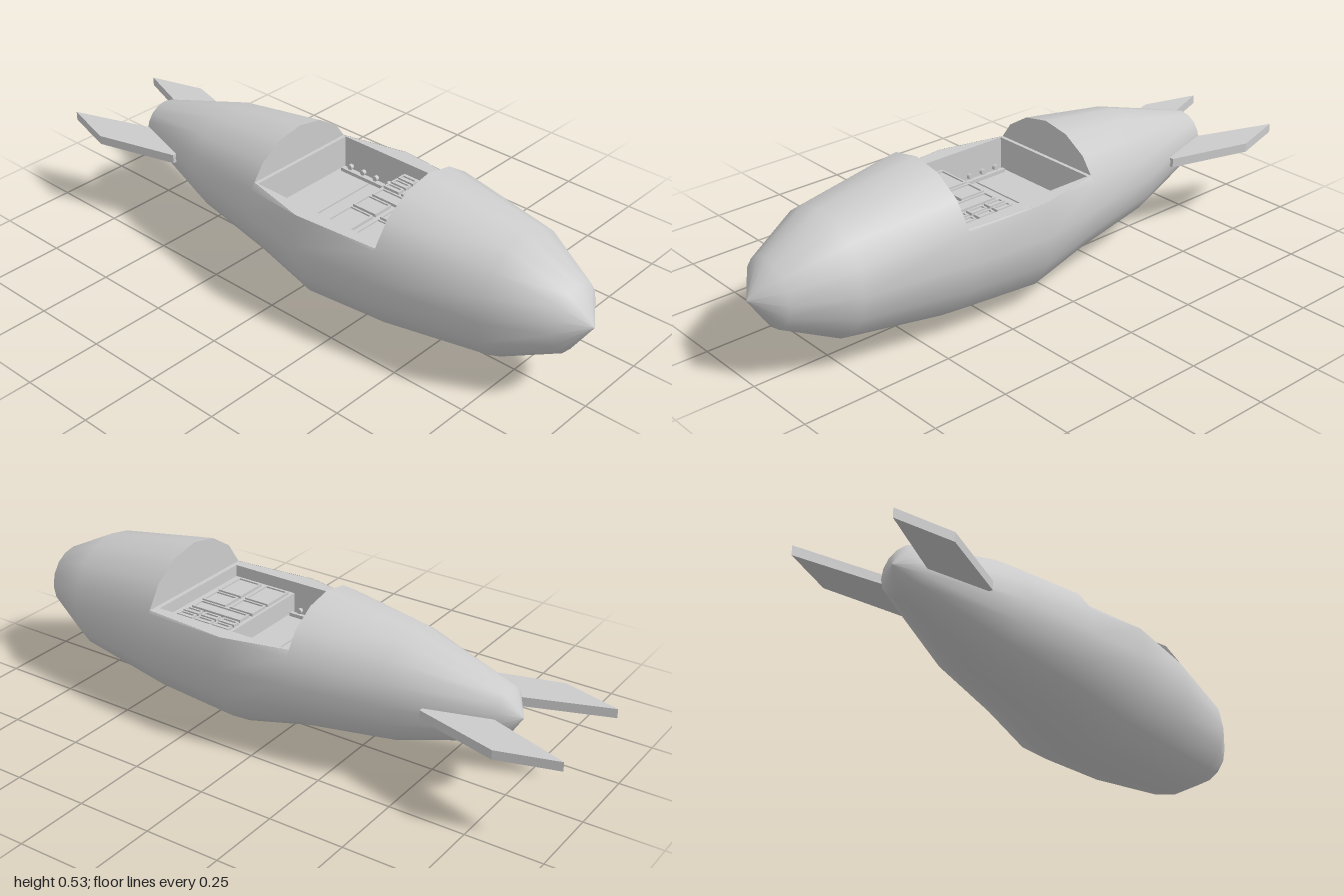
import * as THREE from 'three';

const mat = new THREE.MeshStandardMaterial({ color: 0xcccccc, side: THREE.DoubleSide });
const AXIS = 0.275, RIM = 0.38, SIDES = 16;

// Hull stations: x, vertical radius, sideways radius
const RINGS = [
  [-0.79, 0.0005, 0.0005], [-0.74, 0.082, 0.082], [-0.41, 0.181, 0.183], [-0.11, 0.222, 0.236],
  [0.11, 0.275, 0.275], [0.4, 0.254, 0.256], [0.75, 0.2, 0.2], [0.93, 0.108, 0.108], [1, 0.0005, 0.0005],
];
const OPEN_FROM = 3, OPEN_TO = 5; // stations bounding the cockpit opening

function add(group, name, geometry) {
  const mesh = new THREE.Mesh(geometry, mat);
  mesh.name = name;
  group.add(mesh);
  return mesh;
}

// Box given by its centre in plan, its base height and its size
function box(group, name, x, base, z, w, h, d) {
  return add(group, name, new THREE.BoxGeometry(w, h, d).translate(x, base + h / 2, z));
}

// Horizontal plate with its outline in [x, z] and its top face at the given height
function plate(outline, hole, top, depth) {
  const toShape = (Type, pts) => new Type(pts.map(([x, z]) => new THREE.Vector2(x, -z)));
  const shape = toShape(THREE.Shape, outline);
  if (hole) shape.holes.push(toShape(THREE.Path, hole));
  return new THREE.ExtrudeGeometry(shape, { depth, bevelEnabled: false })
    .rotateX(-Math.PI / 2).translate(0, top - depth, 0);
}

function rect(x0, x1, z0, z1) {
  return [[x0, z0], [x1, z0], [x1, z1], [x0, z1]];
}

// Half width of a station at rim height, on the polygon side above the 22.5 degree corner
function rimHalfWidth([, ry, rz]) {
  const a = Math.PI / 8, b = Math.PI / 4;
  const t = (RIM - AXIS - ry * Math.sin(a)) / (ry * (Math.sin(b) - Math.sin(a)));
  return rz * THREE.MathUtils.lerp(Math.cos(a), Math.cos(b), Math.max(0, t));
}

// One smooth skin from nose to tail, left open over the cockpit
function hullGeometry() {
  const pos = [], index = [], stride = SIDES + 2;
  const quad = (a, b, c, d) => index.push(a, b, c, a, c, d);
  for (const ring of RINGS) {
    const [x, ry, rz] = ring;
    for (let j = 0; j < SIDES; j++) {
      const a = (j / SIDES) * Math.PI * 2;
      pos.push(x, AXIS + ry * Math.sin(a), rz * Math.cos(a));
    }
    const w = rimHalfWidth(ring); // two extra corners for the rim
    pos.push(x, RIM, w, x, RIM, -w);
  }
  for (let i = 0; i < RINGS.length - 1; i++) {
    const p = i * stride, q = p + stride;
    const open = i >= OPEN_FROM && i < OPEN_TO;
    for (let j = 0; j < SIDES; j++) {
      if (open && j >= 1 && j <= 6) continue;
      const k = (j + 1) % SIDES;
      quad(p + j, q + j, q + k, p + k);
    }
    if (open) {
      quad(p + 1, q + 1, q + 16, p + 16);
      quad(p + 17, q + 17, q + 7, p + 7);
    }
  }
  const g = new THREE.BufferGeometry();
  g.setAttribute('position', new THREE.Float32BufferAttribute(pos, 3));
  g.setIndex(index);
  g.computeVertexNormals();
  return g;
}

// Rectangular frame with a slightly sunken face
function panel(group, name, x0, x1, z0, z1, base) {
  const b = 0.006;
  add(group, name + 'Frame', plate(rect(x0, x1, z0, z1), rect(x0 + b, x1 - b, z0 + b, z1 - b), base + 0.01, 0.01));
  box(group, name + 'Face', (x0 + x1) / 2, base, (z0 + z1) / 2, x1 - x0 - 2 * b, 0.005, z1 - z0 - 2 * b);
}

export function createModel() {
  const model = new THREE.Group();
  model.name = 'finnedCraft';
  add(model, 'hull', hullGeometry());

  // Bulkheads closing the hull before and behind the cockpit
  for (const [i, name] of [[OPEN_FROM, 'rearBulkhead'], [OPEN_TO, 'frontBulkhead']]) {
    const [x, ry, rz] = RINGS[i];
    const turn = i === OPEN_FROM ? 1 : -1;
    add(model, name, new THREE.CircleGeometry(1, SIDES).rotateY((turn * Math.PI) / 2)
      .scale(1, ry, rz).translate(x, AXIS, 0));
  }

  // Cockpit coaming, whose inner faces are the side walls
  const cockpit = new THREE.Group();
  cockpit.name = 'cockpit';
  model.add(cockpit);
  const open = RINGS.slice(OPEN_FROM, OPEN_TO + 1);
  const side = open.map((r) => [r[0], rimHalfWidth(r) - 0.001]);
  const outline = [...side, ...side.slice().reverse().map(([x, z]) => [x, -z])];
  add(cockpit, 'coaming', plate(outline, rect(-0.098, 0.385, -0.2, 0.2), RIM, 0.11));
  box(cockpit, 'floor', 0.145, 0.255, 0, 0.5, 0.012, 0.41);

  // Two floor panels with a gap, and side rails carrying round knobs
  box(cockpit, 'rearFloorPanel', -0.03, 0.267, 0, 0.13, 0.008, 0.39);
  box(cockpit, 'frontFloorPanel', 0.097, 0.267, 0, 0.112, 0.008, 0.39);
  for (const s of [-1, 1]) {
    box(cockpit, 'sideRail', 0.03, 0.275, s * 0.168, 0.225, 0.012, 0.012);
    for (let i = 0; i < 4; i++) {
      add(cockpit, 'railKnob', new THREE.CylinderGeometry(0.009, 0.009, 0.012, 10)
        .rotateX(Math.PI / 2).translate(-0.05 + i * 0.053, 0.298, s * 0.172));
    }
  }

  // Console deck with keys, display and large panels
  const deck = 0.34;
  box(cockpit, 'console', 0.268, 0.26, 0, 0.235, deck - 0.26, 0.4);
  for (let i = 0; i < 3; i++) {
    for (let j = 0; j < 3; j++) {
      const x = 0.16 + i * 0.07, z = -0.182 + j * 0.034;
      panel(cockpit, 'key', x, x + 0.06, z, z + 0.026, deck);
    }
  }
  panel(cockpit, 'display', 0.165, 0.355, -0.077, -0.027, deck);
  for (const [x0, x1] of [[0.16, 0.25], [0.268, 0.358]]) {
    panel(cockpit, 'smallPanel', x0, x1, -0.018, 0.055, deck);
    panel(cockpit, 'largePanel', x0, x1, 0.065, 0.18, deck);
  }

  // Swept tail fins
  for (const s of [-1, 1]) {
    const fin = [[-0.535, 0.155], [-0.81, 0.232], [-1, 0.176], [-0.73, 0.078], [-0.535, 0.08]];
    add(model, s > 0 ? 'frontSideFin' : 'backSideFin',
      plate(fin.map(([x, z]) => [x, z * s]), null, 0.291, 0.03));
  }
  return model;
}
